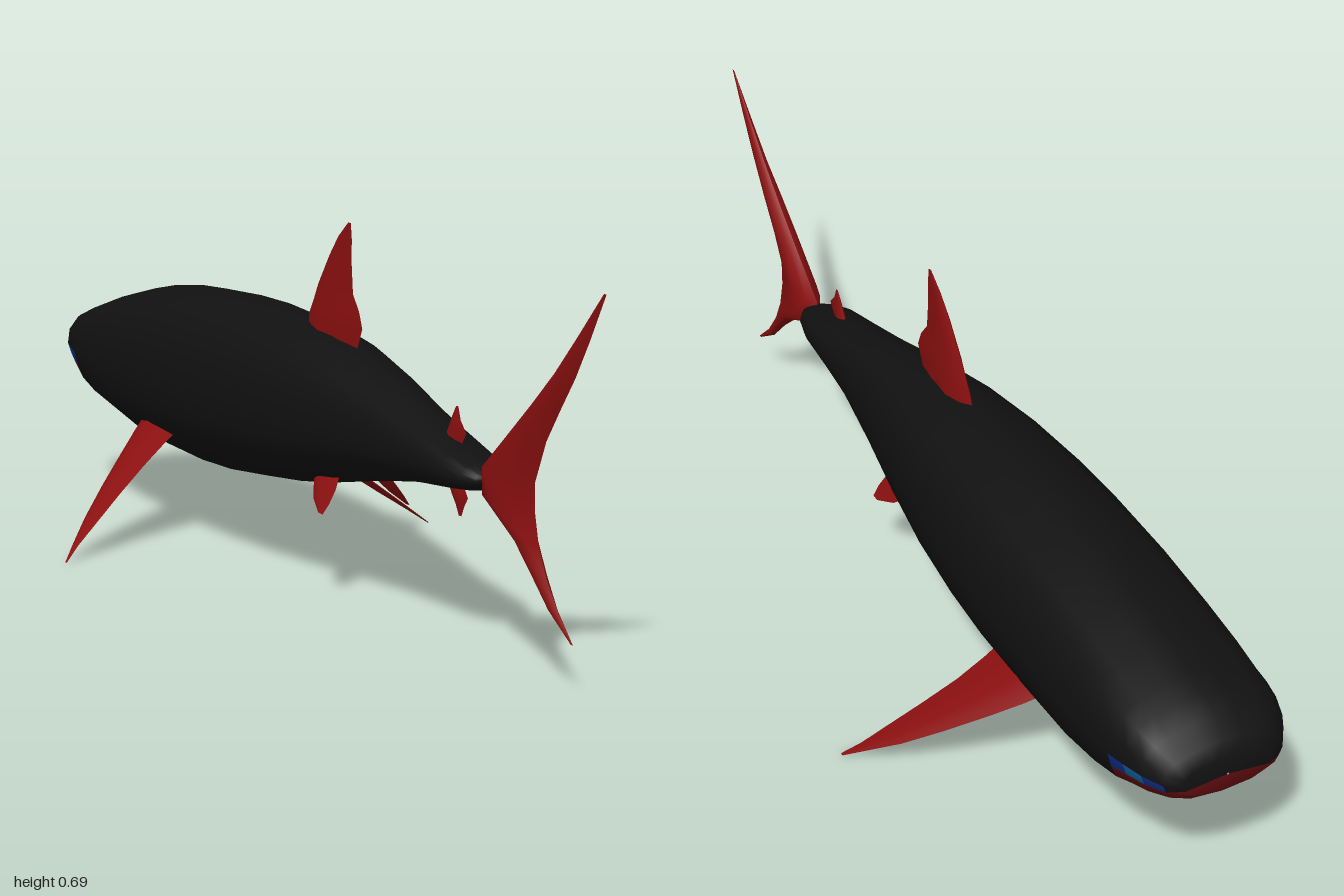
import * as THREE from 'three';

const flat = (name, color, side = THREE.FrontSide) => {
  const m = new THREE.MeshStandardMaterial({ color, side });
  m.name = name;
  return m;
};

// Right half of the body cross-section, top to bottom, in units of half width and half height
const HALF = [[0, 1], [0.3, 0.94], [0.63, 0.8], [0.83, 0.66], [0.97, 0.34], [1, -0.05],
  [0.95, -0.32], [0.88, -0.57], [0.53, -0.89], [0, -1]];

// Body stations from nose to tail: z, top, bottom, half width
const STATIONS = [
  [-1, 0.312, 0.308, 0.002], [-1, 0.348, 0.278, 0.085], [-0.985, 0.372, 0.262, 0.115],
  [-0.95, 0.4, 0.248, 0.138], [-0.91, 0.416, 0.234, 0.15], [-0.87, 0.43, 0.212, 0.156],
  [-0.8, 0.448, 0.186, 0.159], [-0.7, 0.468, 0.162, 0.16], [-0.55, 0.488, 0.152, 0.16],
  [-0.38, 0.498, 0.148, 0.158], [-0.25, 0.5, 0.153, 0.152], [-0.1, 0.494, 0.169, 0.14],
  [0.05, 0.478, 0.195, 0.12], [0.2, 0.447, 0.226, 0.095], [0.35, 0.405, 0.254, 0.072],
  [0.45, 0.377, 0.268, 0.064], [0.55, 0.35, 0.279, 0.057], [0.6, 0.334, 0.285, 0.043],
  [0.625, 0.322, 0.297, 0.026], [0.628, 0.311, 0.309, 0.001],
];

// Lofted body; faces around the mouth get their own material groups
function bodyGeometry() {
  const last = HALF.length - 1;
  const ring = [...HALF, ...HALF.slice(1, last).reverse().map(([x, y]) => [-x, y])];
  const n = ring.length;
  const pos = [];
  for (const [z, top, bottom, w] of STATIONS) {
    for (const [x, y] of ring) pos.push(x * w, (top + bottom) / 2 + y * (top - bottom) / 2, z);
  }
  const faces = [[], [], [], []];
  for (let i = 0; i < STATIONS.length - 1; i++) {
    for (let j = 0; j < n; j++) {
      const k = (j + 1) % n;
      const row = Math.min(j, n - 1 - j); // same row number on both sides
      let part = 0;
      if (i < 5 && row >= 6) part = 1;
      else if (i >= 2 && i < 5 && row === 5) part = i === 3 ? 3 : 2;
      const a = i * n + j, b = a + n, c = i * n + k, d = c + n;
      faces[part].push(a, b, c, c, b, d);
    }
  }
  const g = new THREE.BufferGeometry();
  g.setAttribute('position', new THREE.Float32BufferAttribute(pos, 3));
  g.setIndex(faces.flat());
  let start = 0;
  faces.forEach((f, m) => {
    g.addGroup(start, f.length, m);
    start += f.length;
  });
  g.computeVertexNormals();
  return g;
}

// Lens-shaped chord: position along it and share of the full thickness
const CHORD = [[0, 0], [0.12, 0.6], [0.35, 1], [0.7, 0.6], [1, 0]];

// Fin lofted through rows of x, y, leading z, trailing z, half thickness; two sheets with sharp edges
function finGeometry(rows) {
  const [r0, r1] = [rows[0], rows[rows.length - 1]];
  const nrm = new THREE.Vector2(r1[1] - r0[1], r0[0] - r1[0]).normalize();
  const pos = [], index = [], m = CHORD.length;
  for (const s of [1, -1]) {
    const base = pos.length / 3;
    for (const [x, y, lead, trail, half] of rows) {
      for (const [c, t] of CHORD) {
        const h = s * t * half;
        pos.push(x + nrm.x * h, y + nrm.y * h, lead + (trail - lead) * c);
      }
    }
    for (let i = 0; i < rows.length - 1; i++) {
      for (let j = 0; j < m - 1; j++) {
        const a = base + i * m + j, b = a + m, c = a + 1, d = b + 1;
        if (s > 0) index.push(a, b, c, c, b, d);
        else index.push(a, c, b, c, d, b);
      }
    }
  }
  const g = new THREE.BufferGeometry();
  g.setAttribute('position', new THREE.Float32BufferAttribute(pos, 3));
  g.setIndex(index);
  g.computeVertexNormals();
  return g;
}

export function createModel() {
  const model = new THREE.Group();
  model.name = 'shark';
  const black = flat('black skin', 0x111111);
  const red = flat('red fin', 0x8c1010, THREE.DoubleSide);
  const mouth = flat('dark red mouth', 0x640d10);
  const blue = flat('dark blue', 0x0c2a80);
  const lightBlue = flat('light blue', 0x0c5a90);

  const add = (name, geometry, material) => {
    const mesh = new THREE.Mesh(geometry, material);
    mesh.name = name;
    model.add(mesh);
  };

  add('body', bodyGeometry(), [black, mouth, blue, lightBlue]);

  // Fins on the centre line
  add('tailFin', finGeometry([
    [0, 0.085, 0.905, 0.912, 0.001], [0, 0.13, 0.835, 0.862, 0.008], [0, 0.18, 0.785, 0.823, 0.014],
    [0, 0.23, 0.725, 0.797, 0.02], [0, 0.285, 0.61, 0.783, 0.026], [0, 0.335, 0.61, 0.783, 0.027],
    [0, 0.41, 0.705, 0.818, 0.022], [0, 0.47, 0.778, 0.862, 0.018], [0, 0.53, 0.845, 0.908, 0.012],
    [0, 0.6, 0.915, 0.953, 0.007], [0, 0.68, 0.992, 1, 0.001],
  ]), red);
  add('dorsalFin', finGeometry([
    [0, 0.44, -0.08, 0.12, 0.021], [0, 0.5, -0.07, 0.15, 0.018], [0, 0.53, -0.05, 0.137, 0.015],
    [0, 0.56, -0.032, 0.112, 0.012], [0, 0.62, 0.015, 0.106, 0.008], [0, 0.66, 0.052, 0.107, 0.004],
    [0, 0.69, 0.092, 0.103, 0.001],
  ]), red);
  add('rearDorsalFin', finGeometry([
    [0, 0.34, 0.46, 0.52, 0.01], [0, 0.375, 0.48, 0.545, 0.007], [0, 0.395, 0.492, 0.525, 0.004],
    [0, 0.418, 0.508, 0.516, 0.001],
  ]), red);
  add('analFin', finGeometry([
    [0, 0.29, 0.48, 0.53, 0.01], [0, 0.262, 0.495, 0.553, 0.007], [0, 0.245, 0.51, 0.54, 0.004],
    [0, 0.226, 0.52, 0.53, 0.001],
  ]), red);

  // Paired fins
  for (const [side, s] of [['left', 1], ['right', -1]]) {
    const mirrored = (rows) => rows.map(([x, ...rest]) => [s * x, ...rest]);
    add(side + 'PectoralFin', finGeometry(mirrored([
      [0.1, 0.24, -0.6, -0.42, 0.017], [0.15, 0.2, -0.565, -0.415, 0.014],
      [0.2, 0.16, -0.525, -0.405, 0.012], [0.26, 0.113, -0.475, -0.385, 0.009],
      [0.32, 0.065, -0.42, -0.362, 0.006], [0.365, 0.029, -0.37, -0.345, 0.003],
      [0.397, 0.002, -0.333, -0.326, 0.001],
    ])), red);
    add(side + 'PelvicFin', finGeometry(mirrored([
      [0.045, 0.235, 0.05, 0.15, 0.009], [0.062, 0.208, 0.075, 0.165, 0.007],
      [0.078, 0.184, 0.105, 0.17, 0.004], [0.09, 0.166, 0.15, 0.168, 0.001],
    ])), red);
  }
  return model;
}
